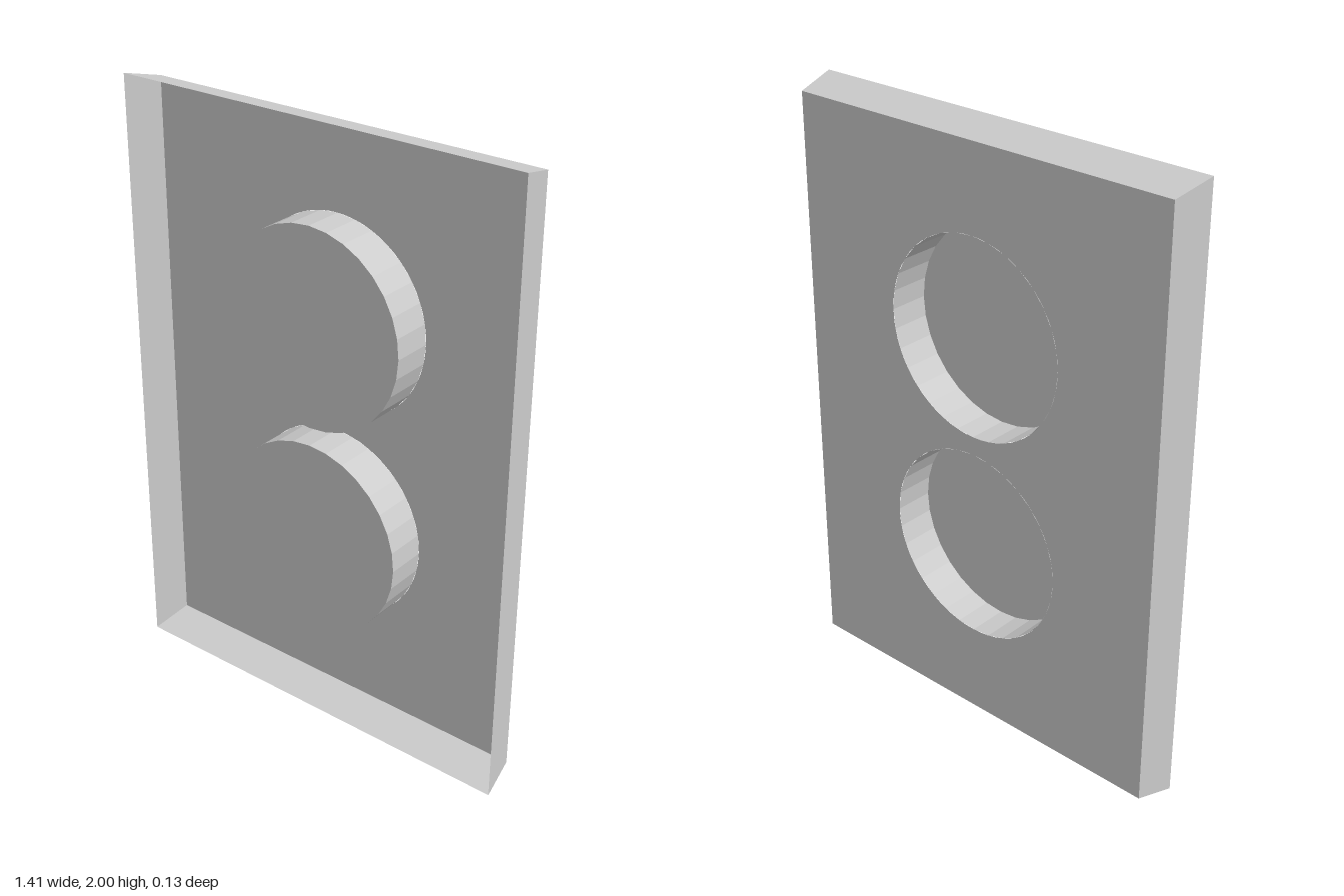
import * as THREE from 'three';

const SIDES = 32;
const RADIUS = 0.323;
const CENTRES = [0.66, 1.367];
const FRONT = { x: 0.705, y0: 0, y1: 2, z: 0.066 };
const BACK = { x: 0.683, y0: 0.032, y1: 1.968, z: -0.066 };

const corners = ({ x, y0, y1, z }) => [[-x, y0, z], [x, y0, z], [x, y1, z], [-x, y1, z]];

export function createModel() {
  const group = new THREE.Group();
  const material = new THREE.MeshStandardMaterial({
    color: 0xcccccc, flatShading: true, side: THREE.DoubleSide,
  });
  const add = (name, geometry, y = 0, z = 0) => {
    const mesh = new THREE.Mesh(geometry, material);
    mesh.name = name;
    mesh.position.set(0, y, z);
    group.add(mesh);
    return mesh;
  };

  // Thin back panel with two round openings
  const panel = new THREE.Shape(corners(BACK).map(([x, y]) => new THREE.Vector2(x, y)));
  for (const y of CENTRES) {
    panel.holes.push(new THREE.Path().absarc(0, y, RADIUS, 0, Math.PI * 2, true));
  }
  add('backPanel', new THREE.ShapeGeometry(panel, SIDES), 0, BACK.z);

  // Four rim walls flaring from the panel to the open front
  const inner = corners(BACK), outer = corners(FRONT);
  ['bottomWall', 'leftWall', 'topWall', 'rightWall'].forEach((name, i) => {
    const j = (i + 1) % 4;
    const geometry = new THREE.BufferGeometry();
    geometry.setAttribute('position', new THREE.Float32BufferAttribute(
      [inner[i], inner[j], outer[j], inner[i], outer[j], outer[i]].flat(), 3));
    geometry.computeVertexNormals();
    add(name, geometry);
  });

  // Round bosses, capped at the front and hollow from behind
  CENTRES.forEach((y, i) => {
    const prefix = i ? 'upper' : 'lower';
    const wall = new THREE.CylinderGeometry(RADIUS, RADIUS, FRONT.z - BACK.z, SIDES, 1, true);
    add(prefix + 'BossWall', wall.rotateX(Math.PI / 2), y);
    add(prefix + 'BossFace', new THREE.CircleGeometry(RADIUS, SIDES), y, FRONT.z);
  });
  return group;
}
